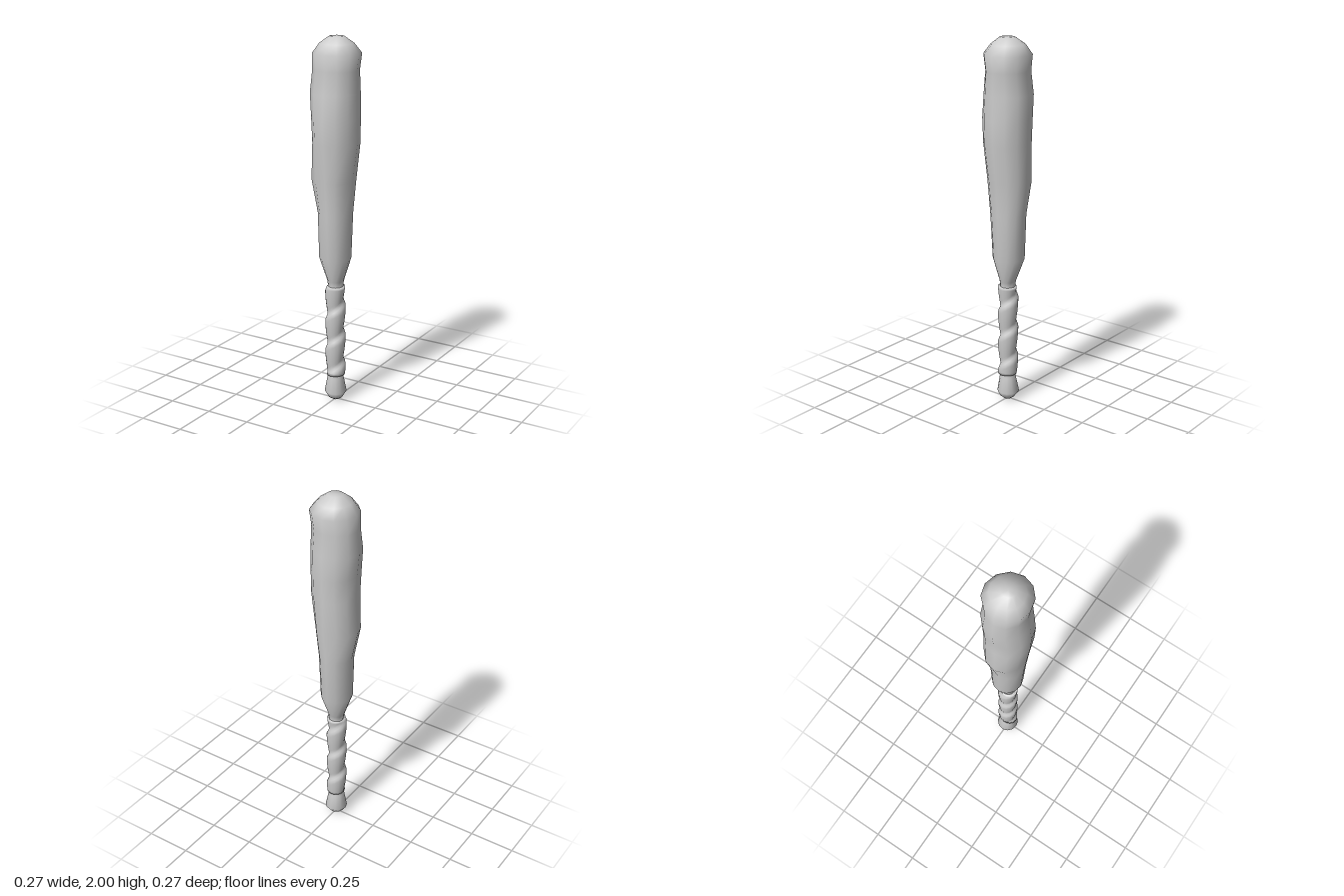
import * as THREE from 'three';

const SIDES = 12;

// Skin a stack of horizontal rings (arrays of points, bottom to top) and close both ends.
function loft(rings) {
  const n = rings[0].length, pos = [], index = [];
  rings.forEach(ring => ring.forEach(p => pos.push(...p)));
  for (let i = 0; i < rings.length - 1; i++) {
    for (let j = 0; j < n; j++) {
      const k = (j + 1) % n;
      const a = i * n + j, b = i * n + k, c = a + n, d = b + n;
      index.push(a, c, b, b, c, d);
    }
  }
  const cap = (ring, start, up) => {
    const centre = pos.length / 3;
    const mean = [0, 1, 2].map(q => ring.reduce((s, p) => s + p[q], 0) / n);
    pos.push(...mean);
    for (let j = 0; j < n; j++) {
      const a = start + j, b = start + (j + 1) % n;
      if (up) index.push(a, centre, b);
      else index.push(a, b, centre);
    }
  };
  cap(rings[0], 0, false);
  cap(rings[rings.length - 1], (rings.length - 1) * n, true);
  const g = new THREE.BufferGeometry();
  g.setAttribute('position', new THREE.Float32BufferAttribute(pos, 3));
  g.setIndex(index);
  g.computeVertexNormals();
  return g;
}

// Lopsided ring with its own reach to each of the four sides.
function ring([y, left, right, back, front]) {
  return Array.from({ length: SIDES }, (_, j) => {
    const t = j / SIDES * Math.PI * 2, c = Math.cos(t), s = Math.sin(t);
    return [c * (c > 0 ? right : left), y, s * (s > 0 ? front : back)];
  });
}

export function createModel() {
  const group = new THREE.Group();
  const material = new THREE.MeshStandardMaterial({ color: 0xcccccc });
  const add = (name, geometry) => {
    const mesh = new THREE.Mesh(geometry, material);
    mesh.name = name;
    group.add(mesh);
  };

  // Rough-hewn club: knob, thin grip, swelling barrel and domed tip.
  // y, then reach to -x, +x, -z, +z
  add('club', loft([
    [0.0, 0.02, 0.02, 0.02, 0.02],
    [0.015, 0.042, 0.04, 0.04, 0.042],
    [0.045, 0.063, 0.058, 0.063, 0.058],
    [0.13, 0.046, 0.042, 0.044, 0.046],
    [0.18, 0.04, 0.038, 0.038, 0.04],
    [0.66, 0.042, 0.04, 0.04, 0.042],
    [0.69, 0.046, 0.043, 0.042, 0.045],
    [0.82, 0.092, 0.08, 0.09, 0.082],
    [1.07, 0.095, 0.088, 0.1, 0.097],
    [1.25, 0.134, 0.102, 0.122, 0.111],
    [1.45, 0.12, 0.128, 0.126, 0.13],
    [1.58, 0.125, 0.128, 0.13, 0.136],
    [1.71, 0.137, 0.126, 0.132, 0.125],
    [1.83, 0.124, 0.124, 0.118, 0.112],
    [1.915, 0.121, 0.134, 0.13, 0.122],
    [1.965, 0.085, 0.093, 0.095, 0.085],
    [2.0, 0.035, 0.045, 0.04, 0.04],
  ].map(ring)));

  // Strip wound three times around the grip, each turn lapping the one below.
  const pitch = 0.17, low = 0.15, high = 0.66, steps = 36;
  const wrap = [];
  for (let i = 0; i <= steps; i++) {
    const y = low + (high - low) * i / steps;
    const points = [];
    for (let j = 0; j < 16; j++) {
      const t = j / 16 * Math.PI * 2;
      const f = (((y - 0.06) / pitch + t / (Math.PI * 2)) % 1 + 1) % 1;
      const swell = f < 0.8 ? Math.sin(f / 0.8 * Math.PI / 2) : (1 - f) / 0.2;
      const r = 0.042 + 0.014 * swell;
      points.push([r * Math.cos(t) - 0.003, y, r * Math.sin(t)]);
    }
    wrap.push(points);
  }
  add('gripWrap', loft(wrap));

  return group;
}
